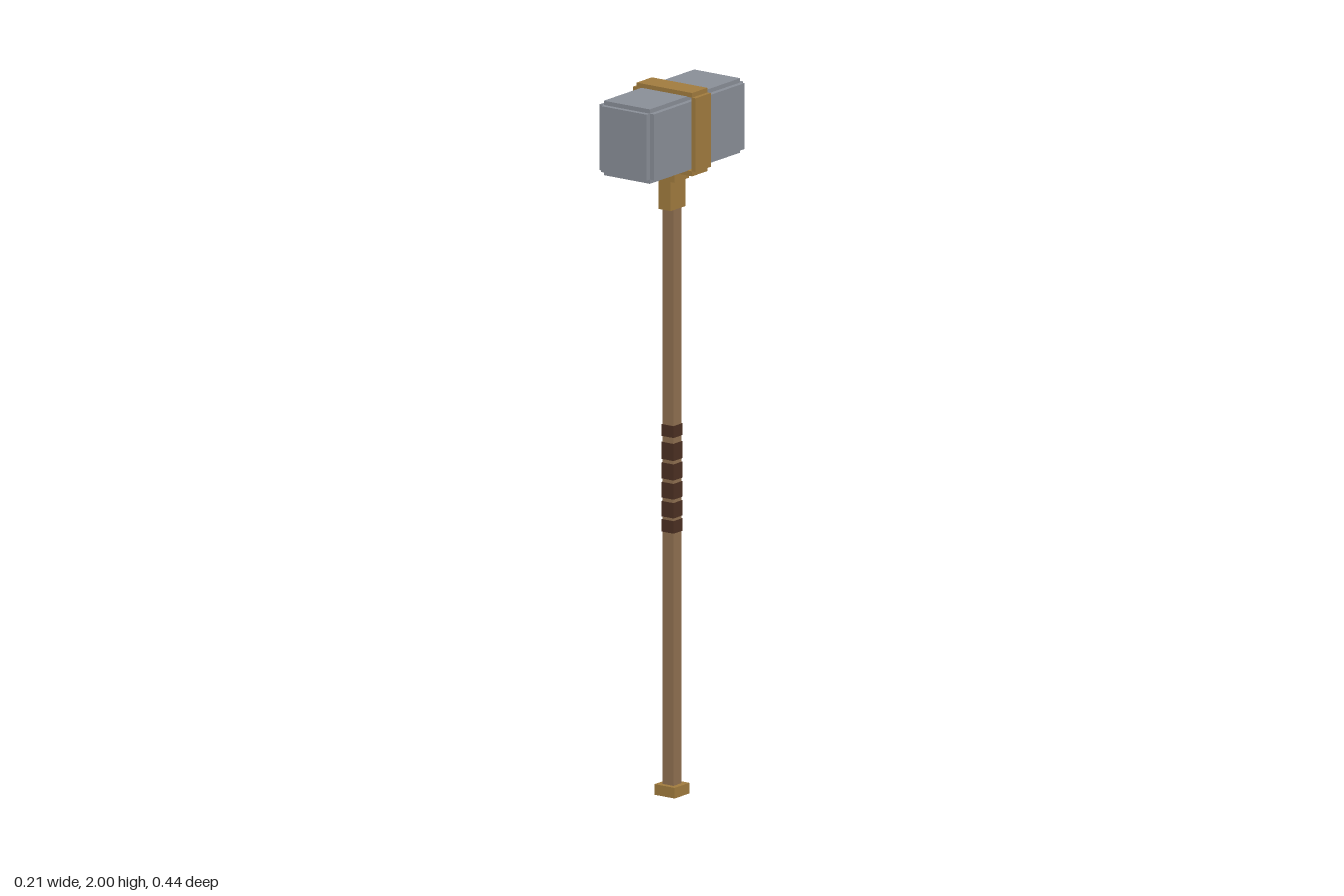
import * as THREE from 'three';

const material = (name, color) => {
  const m = new THREE.MeshStandardMaterial({ color });
  m.name = name;
  return m;
};

export function createModel() {
  const stone = material('grey stone', 0x898e97);
  const brass = material('aged brass', 0xa07b3e);
  const wood = material('brown wood', 0x8f7050);
  const leather = material('dark leather', 0x4b3022);

  const model = new THREE.Group();
  model.name = 'warHammer';

  // Box given by half width, bottom, top and half depth
  const box = (parent, name, mat, hx, y0, y1, hz, x = 0) => {
    const mesh = new THREE.Mesh(new THREE.BoxGeometry(hx * 2, y1 - y0, hz * 2), mat);
    mesh.position.set(x, (y0 + y1) / 2, 0);
    mesh.name = name;
    parent.add(mesh);
  };
  const group = (name) => {
    const g = new THREE.Group();
    g.name = name;
    model.add(g);
    return g;
  };

  // Head: three crossing blocks give the stepped edges
  const head = group('head');
  box(head, 'headSides', stone, 0.092, 1.79, 1.976, 0.207);
  box(head, 'headTopAndBottom', stone, 0.078, 1.778, 1.988, 0.207);
  box(head, 'headStrikingFaces', stone, 0.078, 1.79, 1.976, 0.221);

  // Band of four plates around the head
  const band = group('band');
  box(band, 'bandTop', brass, 0.094, 1.987, 2, 0.035);
  box(band, 'bandBottom', brass, 0.094, 1.765, 1.779, 0.035);
  for (const side of [-1, 1]) {
    box(band, side > 0 ? 'bandLeft' : 'bandRight', brass, 0.007, 1.779, 1.987, 0.035, side * 0.099);
  }

  // Socket joining the head to the shaft
  const socket = group('socket');
  box(socket, 'collar', brass, 0.033, 1.737, 1.765, 0.034);
  box(socket, 'tongue', brass, 0.0205, 1.655, 1.737, 0.034);

  // Shaft and foot cap
  box(model, 'shaft', wood, 0.0187, 0.02, 1.75, 0.0187);
  box(model, 'footCap', brass, 0.034, 0, 0.03, 0.034);

  // Leather wraps on the grip
  const grip = group('grip');
  const wraps = [[0.742, 0.777], [0.785, 0.828], [0.838, 0.882], [0.892, 0.937], [0.947, 0.995], [1.012, 1.045]];
  wraps.forEach(([y0, y1], i) => box(grip, `wrap${i + 1}`, leather, 0.0205, y0, y1, 0.0205));

  return model;
}
